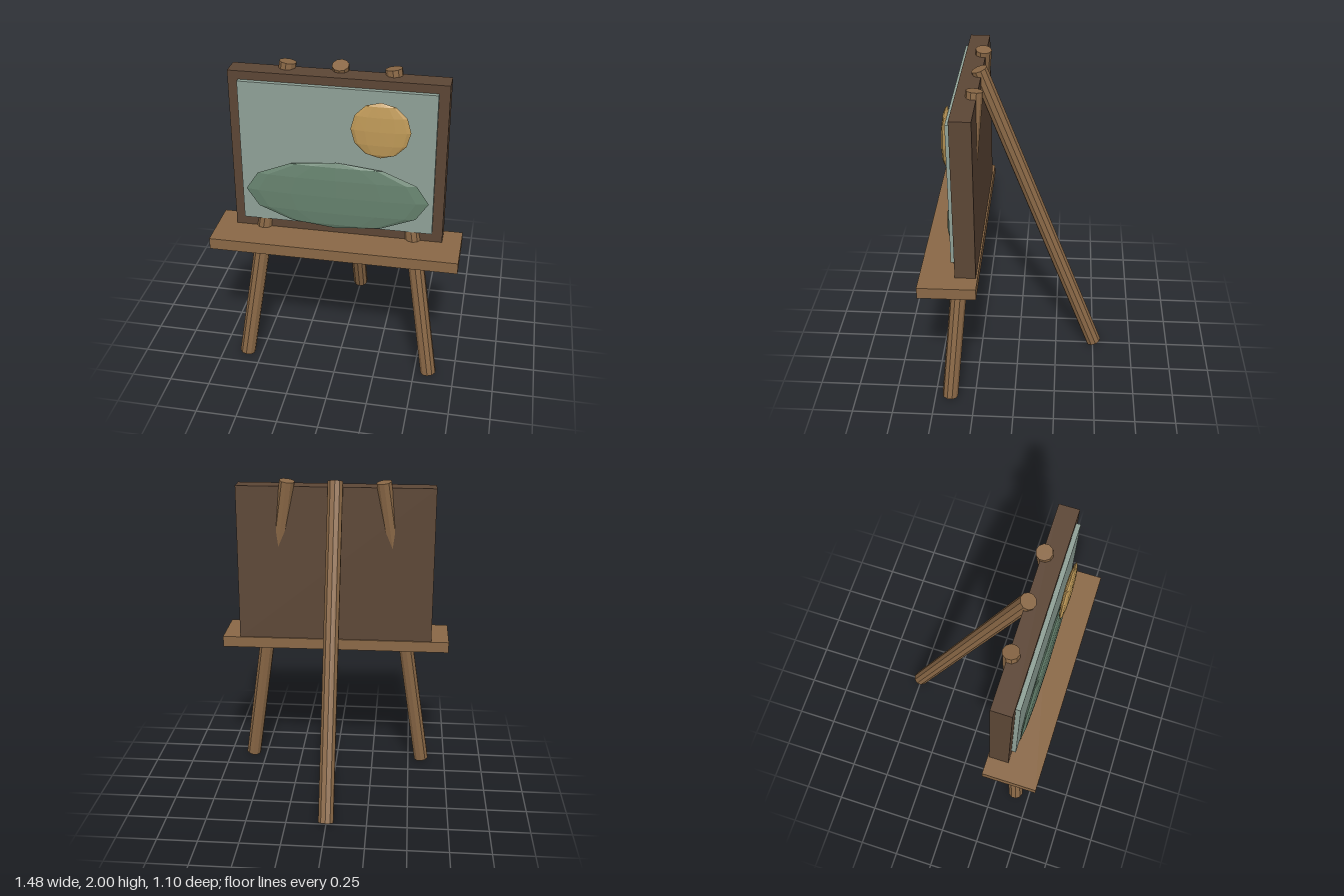
import * as THREE from 'three';

const mat = (color) => new THREE.MeshStandardMaterial({ color, flatShading: true });

export function createModel() {
  const easel = new THREE.Group();
  easel.name = 'easel';
  const wood = mat(0x8a6846);
  const frameWood = mat(0x5c4635);

  const add = (name, geometry, material, x, y, z) => {
    const mesh = new THREE.Mesh(geometry, material);
    mesh.name = name;
    mesh.position.set(x, y, z);
    easel.add(mesh);
    return mesh;
  };

  // Ten-sided round pole running between two points
  const pole = (name, bottom, top) => {
    const a = new THREE.Vector3(...bottom);
    const b = new THREE.Vector3(...top);
    const dir = b.clone().sub(a);
    const mid = a.clone().add(b).multiplyScalar(0.5);
    const mesh = add(name, new THREE.CylinderGeometry(0.049, 0.049, dir.length(), 10), wood, mid.x, mid.y, mid.z);
    mesh.quaternion.setFromUnitVectors(new THREE.Vector3(0, 1, 0), dir.normalize());
  };

  // Flattened faceted blob painted on the canvas
  const blob = (name, color, rx, ry, rz, x, y, z) => {
    const geometry = new THREE.SphereGeometry(1, 12, 6).scale(rx, ry, rz);
    add(name, geometry, mat(color), x, y, z);
  };

  // Tripod legs
  pole('leftFrontLeg', [0.59, 0.017, 0.405], [0.3, 1.983, 0.23]);
  pole('rightFrontLeg', [-0.59, 0.017, 0.405], [-0.3, 1.983, 0.23]);
  pole('rearLeg', [0, 0.017, -0.505], [0, 1.983, 0.232]);

  // Shelf, frame board and canvas
  add('shelf', new THREE.BoxGeometry(1.476, 0.07, 0.34), wood, 0, 0.918, 0.378);
  add('frame', new THREE.BoxGeometry(1.25, 1.0, 0.122), frameWood, 0, 1.45, 0.279);
  add('canvas', new THREE.BoxGeometry(1.13, 0.88, 0.04), mat(0x8fa197), 0, 1.46, 0.347);

  // Painted landscape
  blob('paintedHill', 0x66826e, 0.54, 0.22, 0.024, 0, 1.225, 0.378);
  blob('paintedSun', 0xc09a58, 0.17, 0.17, 0.023, 0.257, 1.68, 0.402);

  return easel;
}
